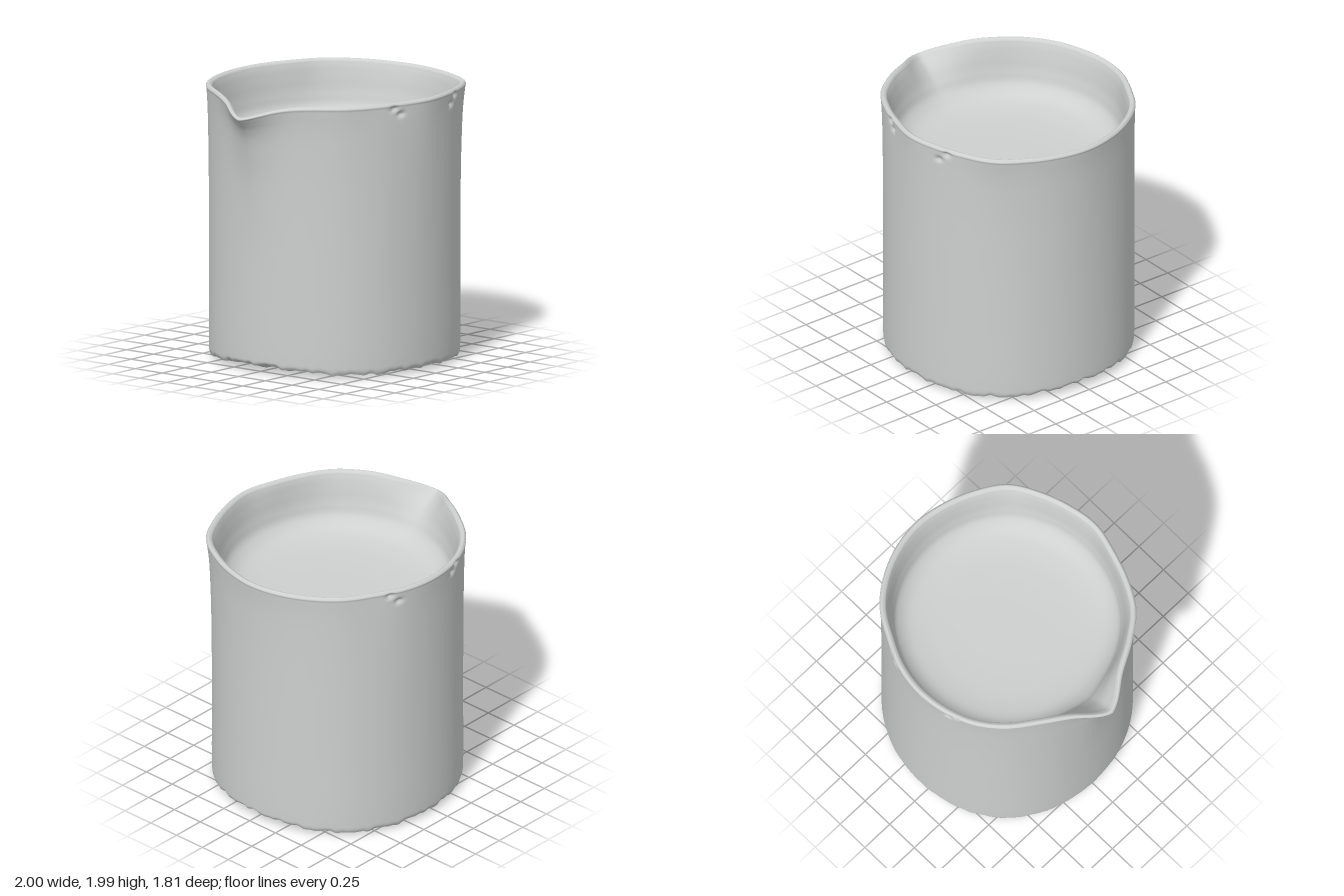
import * as THREE from 'three';

const SEGMENTS = 288, CENTRE_X = 0.07, BODY = 0.885;

// Uneven rim radius every 15 degrees, starting and ending at the spout tip (-x)
const RIM = [1.07, 0.955, 0.912, 0.915, 0.918, 0.91, 0.905, 0.897, 0.888, 0.91, 0.915, 0.92,
  0.925, 0.92, 0.925, 0.94, 0.912, 0.898, 0.9, 0.88, 0.892, 0.92, 0.925, 0.955, 1.07];
const rimCurve = new THREE.SplineCurve(RIM.map((r, i) => new THREE.Vector2(i, r)));

// Small pinches below the rim: [angle from +x in degrees, height]
const PINCHES = [[107.5, 1.9], [111, 1.945], [72, 1.89], [67.5, 1.945]];

const bump = (d, width) => Math.exp(-(d * d) / (width * width));

// 0 along the x and z axes, 1 on the diagonals
const diagonal = (a) => Math.sin(2 * a) ** 2;

// The body is a slightly squared circle
const swell = (a) => 0.012 * diagonal(a) + 0.005 * Math.max(0, Math.cos(a)) ** 4;

// Radial pleats of the gathered underside, in -1..1
function pleat(a) {
  return 0.3 * Math.sin(17 * a + 0.6) + 0.3 * Math.sin(29 * a + 2.1 + Math.sin(3 * a))
    + 0.25 * Math.sin(47 * a + 1.3) + 0.15 * Math.sin(71 * a);
}

// Height of the pleated lower edge
function edgeHeight(a) {
  return 0.04 - 0.02 * diagonal(a) + 0.025 * Math.cos(a) ** 4 + 0.016 * pleat(a);
}

// Closed ring surface: place(point, angle, turn) turns a profile point into a vertex
function ringSurface(profile, place) {
  const positions = [], index = [];
  profile.forEach((p, i) => {
    for (let j = 0; j < SEGMENTS; j++) {
      const angle = Math.PI + (j / SEGMENTS) * Math.PI * 2;
      const [r, y] = place(p, angle, j / SEGMENTS);
      positions.push(CENTRE_X + r * Math.cos(angle), y, r * Math.sin(angle));
      if (i === 0) continue;
      const k = (j + 1) % SEGMENTS, low = (i - 1) * SEGMENTS, high = i * SEGMENTS;
      index.push(low + j, high + j, low + k, high + j, high + k, low + k);
    }
  });
  const geometry = new THREE.BufferGeometry();
  geometry.setAttribute('position', new THREE.Float32BufferAttribute(positions, 3));
  geometry.setIndex(index);
  geometry.computeVertexNormals();
  return geometry;
}

const smooth = (points, count) =>
  new THREE.CatmullRomCurve3(points.map((p) => new THREE.Vector3(...p))).getPoints(count);

// Outer wall, rolled lip and shallow bowl: [radius, height, share of the rim flare]
function vesselGeometry() {
  const profile = smooth([
    [0.872, 0, 0], [0.882, 0.03, 0], [BODY, 0.1, 0], [BODY, 0.6, 0], [BODY, 1, 0.02],
    [BODY, 1.4, 0.14], [BODY, 1.62, 0.3], [BODY, 1.75, 0.44], [BODY, 1.84, 0.61],
    [BODY, 1.9, 0.78], [BODY, 1.95, 0.94], [BODY, 1.972, 1], [0.87, 1.985, 1],
    [0.85, 1.977, 1], [0.837, 1.95, 0.92], [0.822, 1.86, 0.58], [0.805, 1.74, 0.24],
    [0.775, 1.65, 0.08], [0.7, 1.59, 0.02], [0.58, 1.56, 0], [0.4, 1.545, 0],
    [0.2, 1.54, 0], [0.0005, 1.54, 0],
  ], 132);
  return ringSurface(profile, (p, angle, t) => {
    const base = swell(angle) * Math.min(1, p.x / BODY);
    const flare = rimCurve.getPoint(t).y - BODY - base;
    const fromSpout = Math.min(t, 1 - t) * Math.PI * 2;
    const drop = 0.105 * Math.exp(-((fromSpout / 0.24) ** 1.5)) + 0.006 * Math.sin(3 * angle + 1);
    let r = p.x + base + p.z * flare;
    // Pinches press the wall inwards on the front and the back
    const fromRight = Math.abs(180 - t * 360);
    if (p.x > 0.86) for (const [a, y] of PINCHES) {
      r -= 0.022 * bump(fromRight - a, 1.7) * bump(p.y - y, 0.02);
    }
    // The lower edge follows the pleats
    const lift = Math.max(0, 1 - p.y / 0.12);
    return [r, p.y - drop * p.z + edgeHeight(angle) * lift];
  });
}

// Pleated underside: [radius, unused, pleat strength]
function undersideGeometry() {
  const profile = smooth([
    [0.0005, 0, 0], [0.2, 0, 0.25], [0.4, 0, 0.5], [0.6, 0, 0.8], [0.75, 0, 1],
    [0.84, 0, 1], [0.872, 0, 1],
  ], 24);
  return ringSurface(profile, (p, angle) => {
    const folded = 0.032 + p.z * (0.014 * pleat(angle) - 0.016 * diagonal(angle));
    const toEdge = THREE.MathUtils.smoothstep(p.x, 0.74, 0.872);
    const r = p.x + swell(angle) * p.x / BODY;
    return [r, Math.max(0, THREE.MathUtils.lerp(folded, edgeHeight(angle), toEdge))];
  });
}

export function createModel() {
  const group = new THREE.Group();
  group.name = 'spoutedBeaker';
  const grey = new THREE.MeshStandardMaterial({ color: 0xcdd0cf });
  grey.name = 'paleGrey';
  const add = (name, geometry) => {
    const mesh = new THREE.Mesh(geometry, grey);
    mesh.name = name;
    group.add(mesh);
  };
  add('vesselWallAndBowl', vesselGeometry());
  add('pleatedUnderside', undersideGeometry());
  return group;
}
